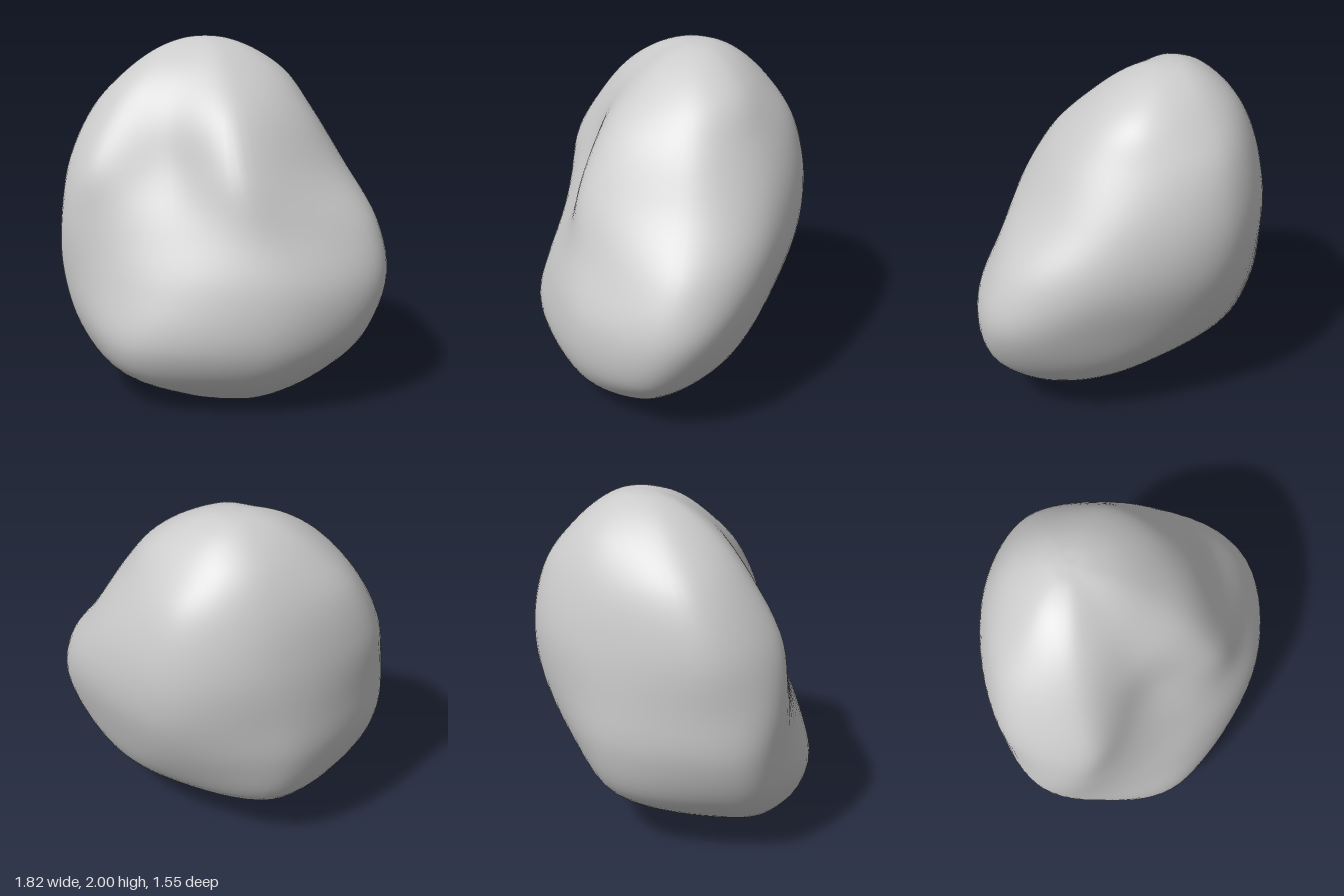
import * as THREE from 'three';
import { mergeVertices } from 'three/addons/utils/BufferGeometryUtils.js';

// Horizontal cross-sections: height, then eight x, z corners running
// left, front-left, front, front-right, right, back-right, back, back-left.
const SECTIONS = [
  [0.2, [0.64, 0.05, 0.46, 0.42, -0.09, 0.68, -0.43, 0.57, -0.54, 0.33, -0.42, -0.14, 0.1, -0.29, 0.47, -0.19]],
  [0.4, [0.83, 0, 0.55, 0.47, -0.1, 0.77, -0.57, 0.61, -0.75, 0.33, -0.62, -0.32, 0.05, -0.5, 0.58, -0.35]],
  [0.7, [0.91, -0.08, 0.6, 0.44, -0.05, 0.7, -0.67, 0.6, -0.88, 0.28, -0.72, -0.38, -0.1, -0.67, 0.67, -0.45]],
  [1.0, [0.82, -0.15, 0.48, 0.41, -0.04, 0.57, -0.66, 0.61, -0.9, 0.24, -0.73, -0.4, -0.2, -0.76, 0.54, -0.57]],
  [1.3, [0.59, -0.18, 0.35, 0.4, -0.12, 0.44, -0.59, 0.58, -0.9, 0.2, -0.68, -0.46, -0.22, -0.77, 0.37, -0.59]],
  [1.6, [0.4, -0.18, 0.22, 0.28, -0.18, 0.35, -0.55, 0.41, -0.81, 0.1, -0.62, -0.43, -0.23, -0.69, 0.21, -0.52]],
  [1.8, [0.23, -0.18, 0.08, 0.13, -0.2, 0.22, -0.48, 0.25, -0.65, 0.01, -0.53, -0.38, -0.25, -0.54, 0.11, -0.44]],
];
const BOTTOM = new THREE.Vector3(0.17, 0, 0.18);
const TOP = new THREE.Vector3(-0.25, 2, -0.17);
const CORNERS = 8, ROWS = 66, COLS = 72;

// Shrinks a ring towards a pole to round off an end
function capRing(ring, pole, y, scale) {
  return ring.map((p) => p.clone().sub(pole).multiplyScalar(scale).add(pole).setY(y));
}

function rockGeometry() {
  const body = SECTIONS.map(([y, c]) =>
    Array.from({ length: CORNERS }, (_, k) => new THREE.Vector3(c[2 * k], y, c[2 * k + 1])));
  const lowest = body[0], highest = body[body.length - 1];
  const rings = [
    capRing(lowest, BOTTOM, 0.008, 0.22),
    capRing(lowest, BOTTOM, 0.065, 0.56),
    ...body,
    capRing(highest, TOP, 1.93, 0.6),
    capRing(highest, TOP, 1.988, 0.26),
  ];

  // Smooth curves from the bottom to the top through matching corners
  const ribs = Array.from({ length: CORNERS }, (_, k) =>
    new THREE.CatmullRomCurve3([BOTTOM, ...rings.map((r) => r[k]), TOP]));

  const positions = [], index = [];
  for (let i = 0; i <= ROWS; i++) {
    const loop = new THREE.CatmullRomCurve3(ribs.map((rib) => rib.getPoint(i / ROWS)), true, 'catmullrom', 0.5);
    for (let j = 0; j < COLS; j++) {
      const p = i === 0 ? BOTTOM : i === ROWS ? TOP : loop.getPoint(j / COLS);
      positions.push(p.x, p.y, p.z);
      if (i === ROWS) continue;
      const a = i * COLS + j, b = i * COLS + (j + 1) % COLS;
      if (i > 0) index.push(a, a + COLS, b);
      if (i < ROWS - 1) index.push(b, a + COLS, b + COLS);
    }
  }
  const geometry = new THREE.BufferGeometry();
  geometry.setAttribute('position', new THREE.Float32BufferAttribute(positions, 3));
  geometry.setIndex(index);
  const merged = mergeVertices(geometry);
  merged.computeVertexNormals();
  return merged;
}

export function createModel() {
  const group = new THREE.Group();
  const rock = new THREE.Mesh(rockGeometry(), new THREE.MeshStandardMaterial({ color: 0xcccccc }));
  rock.name = 'rock';
  group.add(rock);
  return group;
}
